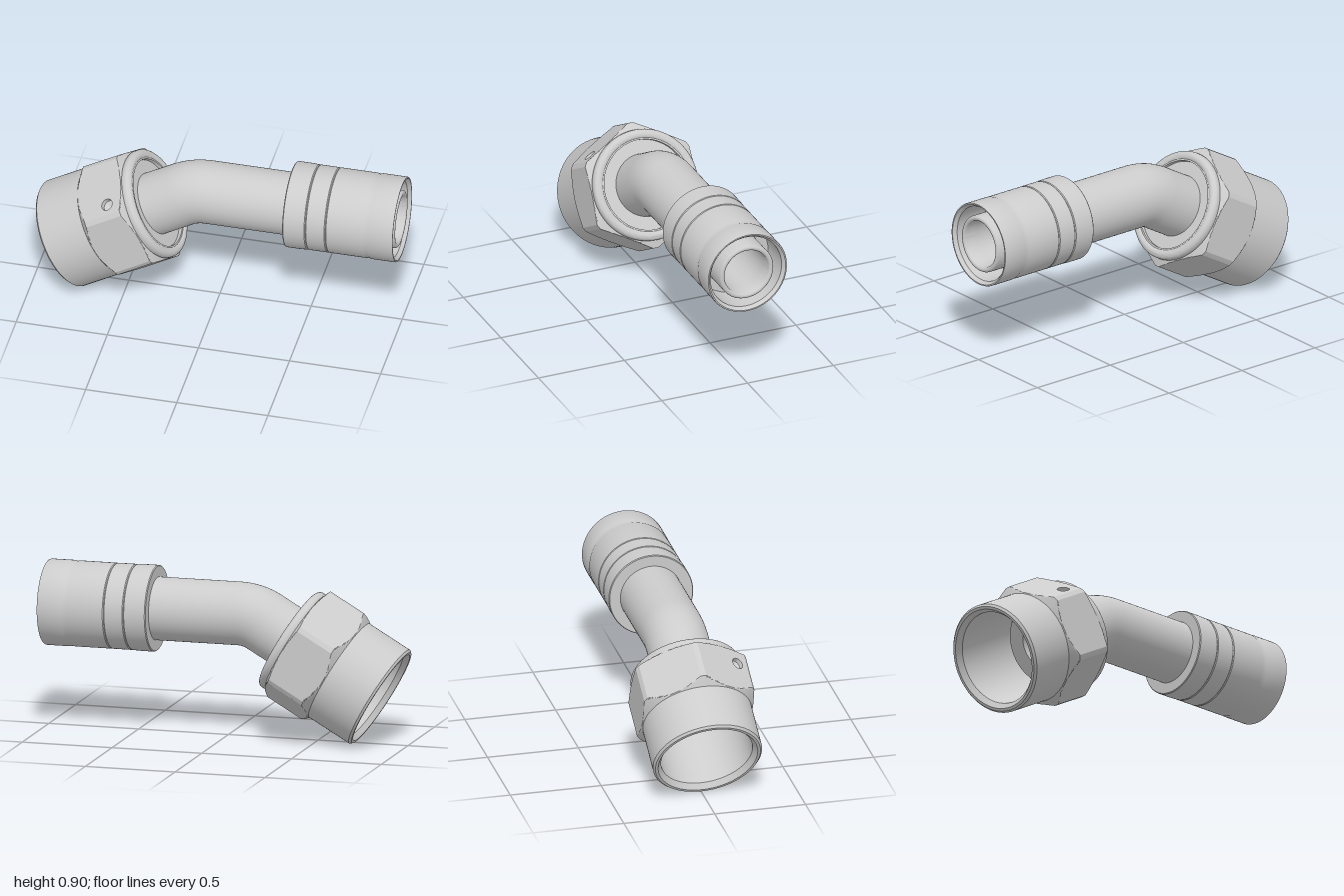
import * as THREE from 'three';
import { toCreasedNormals } from 'three/addons/utils/BufferGeometryUtils.js';

const grey = new THREE.MeshStandardMaterial({ color: 0xcccccc });
const greyDouble = new THREE.MeshStandardMaterial({ color: 0xcccccc, side: THREE.DoubleSide });

const AXIS_Y = 0.675;                 // height of the straight tube
const NUT = [-0.852, 0.262];          // centre of the nut's open end
const TILT = Math.PI / 3;             // nut axis leans 60 degrees from vertical
const FLAT = 0.303;                   // hexagon centre to flat
const TRIM = 27.5 * Math.PI / 180;    // where flats meet the trimmed corners
const CORNER = FLAT / Math.cos(TRIM);
const HEX_LOW = 0.31, HEX_HIGH = 0.53;

function addMesh(parent, name, geometry, material = grey) {
  const mesh = new THREE.Mesh(geometry, material);
  mesh.name = name;
  parent.add(mesh);
  return mesh;
}

// Turned part from [radius, height] pairs
function turned(profile, segments = 96) {
  const points = profile.map(([r, h]) => new THREE.Vector2(r, h));
  return toCreasedNormals(new THREE.LatheGeometry(points, segments), 0.6);
}

// Hexagon trimmed by a turned profile; one flat is left open for the drilled panel
function hexBody() {
  const rows = [], steps = 8, segments = 144;
  for (let i = 0; i <= steps; i++) {
    const t = i / steps;
    rows.push([0.27 + (HEX_LOW - 0.27) * t, 0.298 + (CORNER - 0.298) * t]);
  }
  for (let i = 0; i <= steps; i++) {
    const t = i / steps;
    rows.push([HEX_HIGH + 0.022 * t, CORNER + (0.29 - CORNER) * t]);
  }
  const positions = [], index = [];
  for (const [h, limit] of rows) {
    for (let j = 0; j < segments; j++) {
      const degrees = j * 360 / segments;
      const angle = degrees * Math.PI / 180;
      const offset = ((degrees + 30) % 60 - 30) * Math.PI / 180;
      const r = Math.min(FLAT / Math.cos(offset), limit);
      positions.push(r * Math.sin(angle), h, r * Math.cos(angle));
    }
  }
  for (let i = 0; i < rows.length - 1; i++) {
    for (let j = 0; j < segments; j++) {
      const middle = (j + 0.5) * 360 / segments;
      if (i === steps && Math.abs(middle - 300) < 27.5) continue;
      const a = i * segments + j, b = i * segments + (j + 1) % segments;
      index.push(a, b, b + segments, a, b + segments, a + segments);
    }
  }
  const geometry = new THREE.BufferGeometry();
  geometry.setAttribute('position', new THREE.Float32BufferAttribute(positions, 3));
  geometry.setIndex(index);
  return toCreasedNormals(geometry, 0.3);
}

function createNut() {
  const nut = new THREE.Group();
  nut.name = 'swivelNut';
  nut.position.set(NUT[0], NUT[1], 0);
  nut.rotation.z = -TILT;

  // Sealing seat, bore, rim and skirt
  addMesh(nut, 'nutSkirt', turned([
    [0.128, 0.38], [0.22, 0.38], [0.25, 0.42], [0.25, 0.03], [0.272, 0],
    [0.287, 0], [0.298, 0.012], [0.298, 0.272],
  ]));
  addMesh(nut, 'nutHexagon', hexBody());

  // Rounded collar with a recessed face around the tube
  const collar = [[0.29, 0.54], [0.3, 0.555]];
  for (let i = 0; i <= 8; i++) {
    const a = i / 8 * Math.PI * 0.75;
    collar.push([0.272 + 0.028 * Math.cos(a), 0.57 + 0.028 * Math.sin(a)]);
  }
  collar.push([0.243, 0.59], [0.243, 0.57], [0.165, 0.57]);
  addMesh(nut, 'nutCollar', turned(collar));

  // Flat panel with a drilled hole
  const face = new THREE.Group();
  face.name = 'drilledFlat';
  face.rotation.y = -Math.PI / 3;
  nut.add(face);
  const w = FLAT * Math.tan(TRIM), hole = [0.097, 0.455], radius = 0.033;
  const panel = new THREE.Shape([
    new THREE.Vector2(-w, HEX_LOW), new THREE.Vector2(w, HEX_LOW),
    new THREE.Vector2(w, HEX_HIGH), new THREE.Vector2(-w, HEX_HIGH),
  ]);
  panel.holes.push(new THREE.Path().absarc(hole[0], hole[1], radius, 0, Math.PI * 2, true));
  addMesh(face, 'flatPanel', new THREE.ShapeGeometry(panel, 24)).position.z = FLAT;
  const drill = turned([[radius, 0], [radius, -0.025], [0, -0.04]], 48);
  drill.rotateX(Math.PI / 2);
  addMesh(face, 'drilledHole', drill).position.set(hole[0], hole[1], FLAT);
  return nut;
}

// Centre line: along the nut axis, round the bend, then level to endX
function centreLine(start, endX) {
  const dir = new THREE.Vector3(Math.sin(TILT), Math.cos(TILT), 0);
  const apex = new THREE.Vector3(-0.137, AXIS_Y, 0);
  const bendIn = apex.clone().addScaledVector(dir, -0.078);
  const bendOut = new THREE.Vector3(apex.x + 0.078, AXIS_Y, 0);
  const from = new THREE.Vector3(NUT[0], NUT[1], 0).addScaledVector(dir, start);
  const path = new THREE.CurvePath();
  path.add(new THREE.LineCurve3(from, bendIn));
  path.add(new THREE.QuadraticBezierCurve3(bendIn, apex, bendOut));
  path.add(new THREE.LineCurve3(bendOut, new THREE.Vector3(endX, AXIS_Y, 0)));
  return path;
}

export function createModel() {
  const model = new THREE.Group();
  model.name = 'hoseFitting';
  model.add(createNut());

  // Bent tube and its bore
  addMesh(model, 'bentTube', new THREE.TubeGeometry(centreLine(0.5, 0.4), 96, 0.17, 64));
  addMesh(model, 'tubeBore', new THREE.TubeGeometry(centreLine(0.38, 0.92), 120, 0.128, 64), greyDouble);

  // Crimp sleeve with shallow grooves, open end and rounded inner nipple
  const sleeve = addMesh(model, 'crimpSleeve', turned([
    [0.165, 0.395], [0.228, 0.395], [0.232, 0.4], [0.232, 0.47], [0.23, 0.515],
    [0.226, 0.52], [0.23, 0.525], [0.23, 0.625], [0.226, 0.63], [0.23, 0.635],
    [0.23, 0.835], [0.226, 0.85], [0.231, 0.865], [0.231, 0.995], [0.229, 1],
    [0.222, 1], [0.207, 0.98], [0.207, 0.8], [0.157, 0.8],
  ]));
  const nipple = [[0.157, 0.8]];
  for (let i = 0; i <= 10; i++) {
    const a = i / 10 * Math.PI;
    nipple.push([0.1425 + 0.0145 * Math.cos(a), 0.98 + 0.0145 * Math.sin(a)]);
  }
  nipple.push([0.128, 0.9]);
  const insert = addMesh(model, 'hoseNipple', turned(nipple));
  for (const part of [sleeve, insert]) {
    part.rotation.z = -Math.PI / 2;
    part.position.y = AXIS_Y;
  }
  return model;
}
